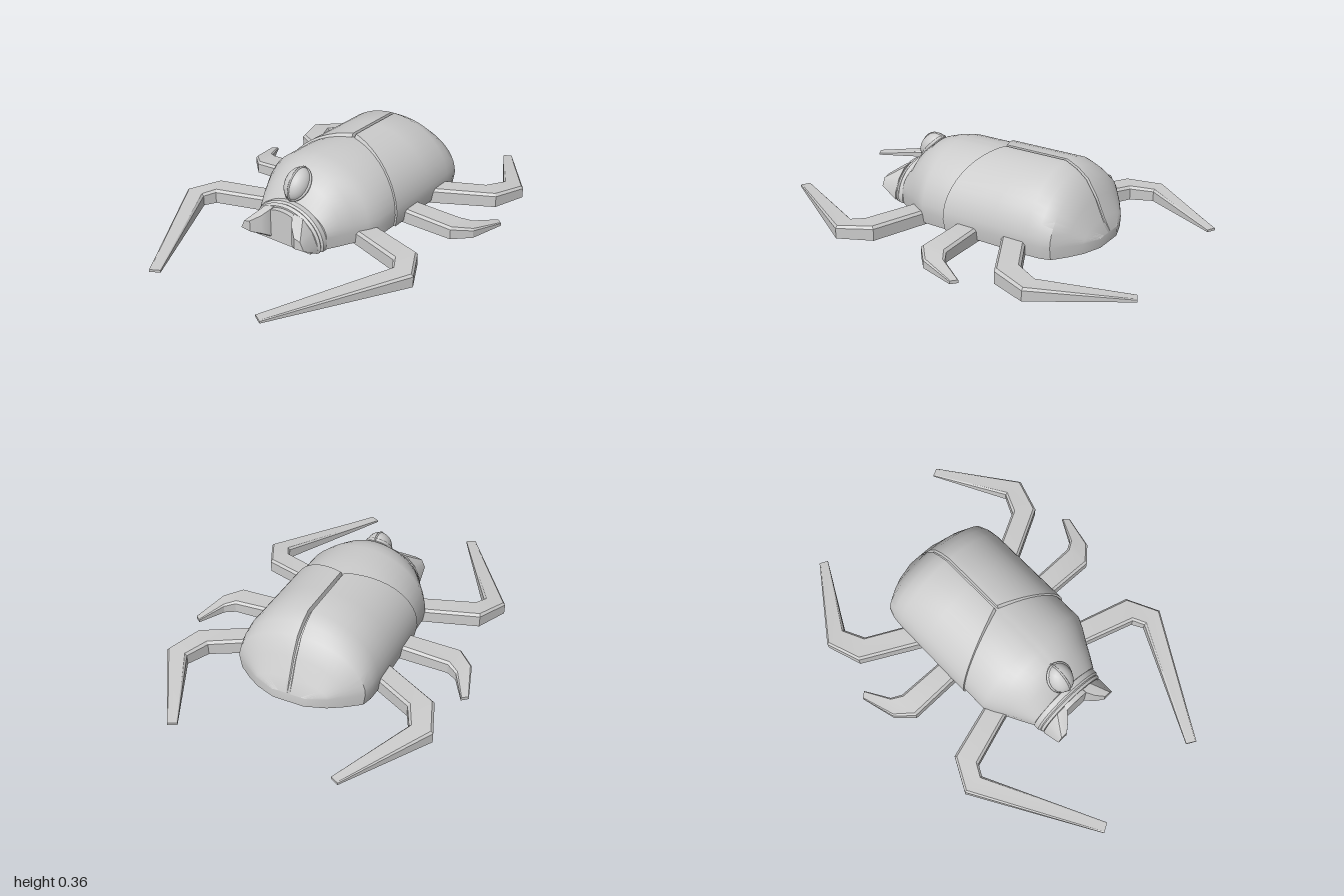
import * as THREE from 'three';
import { toCreasedNormals } from 'three/addons/utils/BufferGeometryUtils.js';
import { ConvexGeometry } from 'three/addons/geometries/ConvexGeometry.js';

const material = new THREE.MeshStandardMaterial({ color: 0xcccccc });

function add(group, name, geometry) {
  const mesh = new THREE.Mesh(geometry, material);
  mesh.name = name;
  group.add(mesh);
  return mesh;
}

// Skin a list of closed rings of [x, y, z] and cap both ends; faces always point outward
function loft(rings, crease = 0.6) {
  const n = rings[0].length, last = rings.length - 1;
  const pos = rings.flat(2), index = [];
  for (let r = 0; r < last; r++) {
    for (let i = 0; i < n; i++) {
      const a = r * n + i, b = r * n + (i + 1) % n;
      index.push(a, b, b + n, a, b + n, a + n);
    }
  }
  for (const r of [0, last]) {
    const c = pos.length / 3;
    for (let k = 0; k < 3; k++) pos.push(rings[r].reduce((s, p) => s + p[k], 0) / n);
    for (let i = 0; i < n; i++) {
      const a = r * n + i, b = r * n + (i + 1) % n;
      if (r === 0) index.push(c, b, a);
      else index.push(c, a, b);
    }
  }
  // Signed volume decides the winding
  const v = (i) => new THREE.Vector3().fromArray(pos, i * 3);
  let volume = 0;
  for (let i = 0; i < index.length; i += 3) {
    volume += v(index[i]).dot(v(index[i + 1]).cross(v(index[i + 2])));
  }
  if (volume < 0) index.reverse();
  const g = new THREE.BufferGeometry();
  g.setAttribute('position', new THREE.Float32BufferAttribute(pos, 3));
  g.setIndex(index);
  return toCreasedNormals(g, crease);
}

// Domed cross-section on a short vertical skirt, optionally grooved along the top
function arch(z, w, h, base = 0.07, groove = 0) {
  const steps = 12, half = [[w * 0.97, 0.01], [w, base]];
  for (let i = 1; i < steps; i++) {
    const t = (i / steps) * Math.PI / 2;
    half.push([w * Math.cos(t), base + (h - base) * Math.sin(t)]);
  }
  half.push([0.009, h], [0.004, h - groove]);
  const ring = [...half, ...half.map(([x, y]) => [-x, y]).reverse()];
  return ring.map(([x, y]) => [x, y, typeof z === 'function' ? z(x) : z]);
}

// Leg from pairs of edge points: [outer x, outer z, inner x, inner z, top]
function leg(pairs, side) {
  return loft(pairs.map(([ax, az, bx, bz, top]) => {
    const at = (t, y) => [side * (ax + (bx - ax) * t), y, az + (bz - az) * t];
    const bevel = top * 0.82;
    return [at(0, 0), at(0, bevel), at(0.1, top), at(0.9, top), at(1, bevel), at(1, 0)];
  }), 0.3);
}

export function createModel() {
  const model = new THREE.Group();
  model.name = 'beetle';

  // Wing cases with a V-shaped front edge and a centre seam
  const vEdge = (x) => -0.09 + 0.13 * Math.abs(x) / 0.34;
  add(model, 'wingCases', loft([
    arch(vEdge, 0.34, 0.36, 0.07, 0.018),
    arch(-0.25, 0.34, 0.36, 0.07, 0.022),
    arch(-0.42, 0.34, 0.36, 0.07, 0.022),
    arch(-0.48, 0.335, 0.33, 0.07, 0.022),
    arch(-0.53, 0.32, 0.29, 0.07, 0.02),
    arch(-0.58, 0.25, 0.21, 0.065, 0.015),
    arch(-0.62, 0.18, 0.12, 0.06, 0.01),
    arch(-0.653, 0.08, 0.06, 0.055, 0),
  ]));

  // Thorax, tucked under the wing cases
  add(model, 'thorax', loft([
    arch(-0.15, 0.325, 0.335),
    arch(0, 0.33, 0.35),
    arch(0.17, 0.33, 0.35),
    arch(0.22, 0.305, 0.343),
    arch(0.28, 0.268, 0.325),
    arch(0.34, 0.235, 0.28),
    arch(0.4, 0.2, 0.19),
  ]));

  // Head: two stepped collars and a face plate
  add(model, 'collarBack', loft([arch(0.39, 0.19, 0.19, 0.03), arch(0.4, 0.203, 0.2, 0.03),
    arch(0.425, 0.203, 0.2, 0.03), arch(0.435, 0.193, 0.19, 0.03)]));
  add(model, 'collarFront', loft([arch(0.43, 0.192, 0.19, 0.03), arch(0.44, 0.198, 0.195, 0.03),
    arch(0.452, 0.19, 0.185, 0.03)]));
  add(model, 'face', loft([arch(0.44, 0.18, 0.178, 0.03), arch(0.475, 0.17, 0.175, 0.03)]));

  // Horn bead on the brow: tilted ellipsoid with a rim and a centre ridge
  const bead = new THREE.Group();
  bead.name = 'browBead';
  bead.position.set(0, 0.265, 0.352);
  bead.rotation.x = 0.85;
  add(bead, 'beadShell', new THREE.SphereGeometry(1, 20, 14)).scale.set(0.062, 0.062, 0.083);
  const rim = add(bead, 'beadRim', new THREE.TorusGeometry(0.06, 0.009, 8, 24));
  rim.rotation.x = Math.PI / 2;
  rim.scale.y = 1.25;
  const ridge = add(bead, 'beadRidge', new THREE.TorusGeometry(0.062, 0.005, 6, 24));
  ridge.rotation.y = Math.PI / 2;
  ridge.scale.x = 1.32;
  model.add(bead);

  // Legs as tapering, bevelled lofts
  const legs = {
    frontLeg: [
      [0.24, 0.145, 0.2, 0.25, 0.07], [0.34, 0.175, 0.3, 0.28, 0.07], [0.59, 0.25, 0.53, 0.355, 0.07],
      [0.67, 0.41, 0.56, 0.41, 0.062], [0.32, 0.995, 0.275, 0.97, 0.012],
    ],
    middleLeg: [
      [0.25, -0.04, 0.25, -0.15, 0.07], [0.34, -0.035, 0.34, -0.15, 0.07], [0.59, -0.03, 0.57, -0.155, 0.06],
      [0.67, -0.105, 0.62, -0.185, 0.045], [0.72, -0.285, 0.69, -0.31, 0.015],
    ],
    rearLeg: [
      [0.25, -0.25, 0.25, -0.37, 0.075], [0.34, -0.29, 0.34, -0.415, 0.075], [0.61, -0.435, 0.51, -0.505, 0.07],
      [0.67, -0.61, 0.56, -0.61, 0.06], [0.41, -1, 0.37, -0.98, 0.012],
    ],
  };

  for (const [label, s] of [['left', 1], ['right', -1]]) {
    for (const [name, pairs] of Object.entries(legs)) add(model, `${label} ${name}`, leg(pairs, s));

    // Mandible wedge at the side of the face
    const points = [
      [0.06, 0.012, 0.455], [0.06, 0.175, 0.455], [0.11, 0.165, 0.455], [0.16, 0.115, 0.455],
      [0.19, 0.05, 0.455], [0.19, 0.012, 0.455], [0.065, 0.03, 0.478], [0.065, 0.165, 0.478],
      [0.09, 0.05, 0.515], [0.09, 0.14, 0.51],
      [0.13, 0.06, 0.545], [0.13, 0.115, 0.545], [0.165, 0.105, 0.545], [0.184, 0.065, 0.545],
    ].map(([x, y, z]) => new THREE.Vector3(s * x, y, z));
    add(model, `${label} mandible`, toCreasedNormals(new ConvexGeometry(points), 0.5));
  }
  return model;
}
